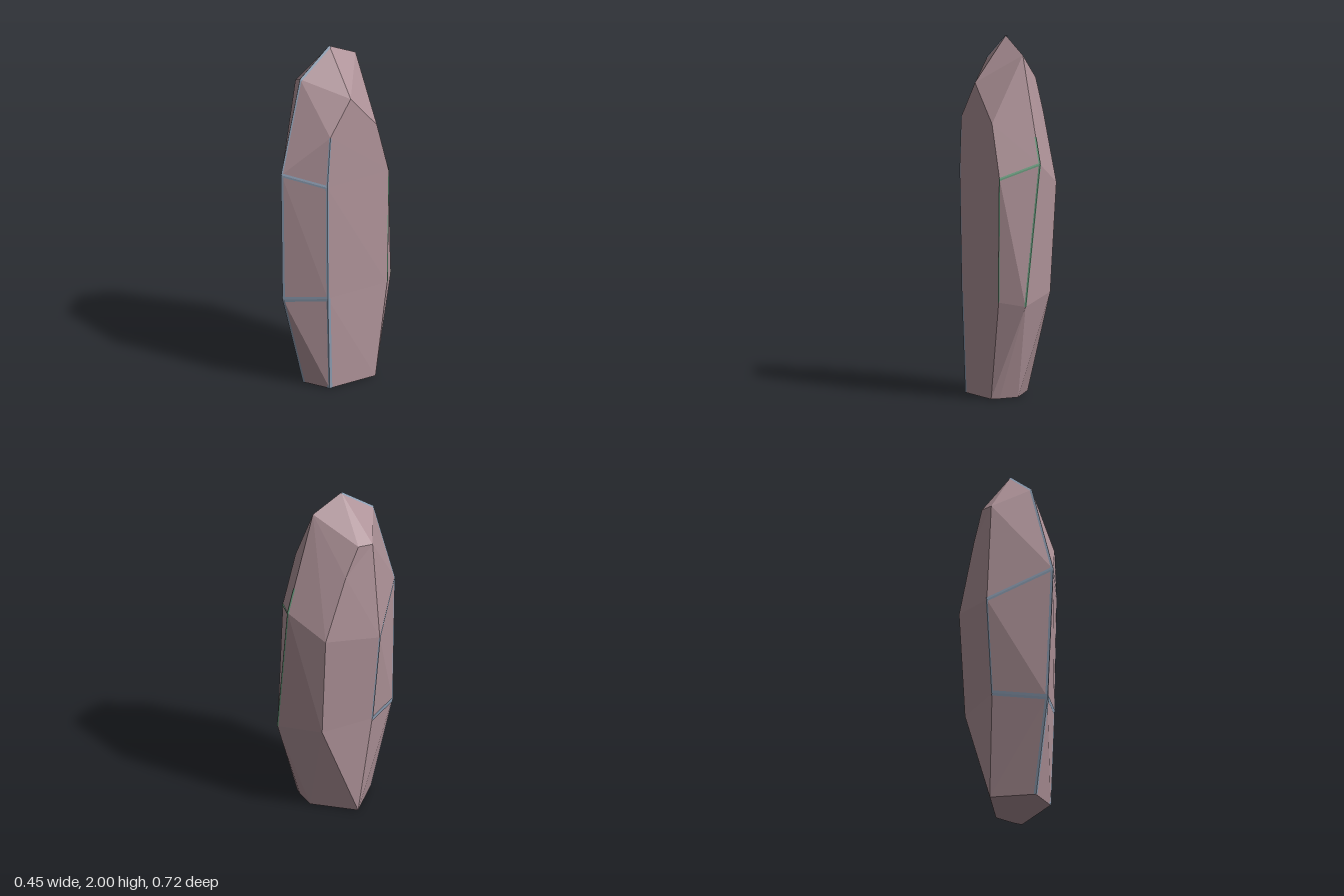
import * as THREE from 'three';

const V = (x, y, z) => new THREE.Vector3(x, y, z);

// Cross-sections from base to shoulder; columns run
// front, front right, back right, back, back left, front left
const F = 0, FR = 1, BR = 2, B = 3, BL = 4, FL = 5;
const rings = [
  [V(0.05, 0, 0.2), V(0.2, 0, 0.13), V(0.22, 0, -0.17), V(0.17, 0, -0.18), V(0.05, 0, -0.18), V(-0.135, 0, 0.02)],
  [V(0.035, 0.54, 0.33), V(0.21, 0.56, 0.15), V(0.22, 0.55, -0.25), V(0.11, 0.53, -0.355), V(-0.14, 0.58, -0.21), V(-0.17, 0.6, 0.09)],
  [V(0.055, 1.32, 0.355), V(0.218, 1.25, 0.16), V(0.22, 1.24, -0.26), V(0.01, 1.32, -0.345), V(-0.18, 1.19, -0.21), V(-0.22, 1.15, 0.11)],
  [V(0.02, 1.85, 0.2), V(0.22, 1.55, 0.14), V(0.22, 1.54, -0.18), V(0.02, 1.91, -0.18), V(-0.175, 1.57, -0.08), V(-0.175, 1.74, 0.09)],
];
const apex = V(0.02, 2, 0), ridgeRight = V(0.22, 1.75, 0), ridgeLeft = V(-0.175, 1.75, 0);

function meshFrom(points, material, name) {
  const geometry = new THREE.BufferGeometry().setFromPoints(points);
  geometry.computeVertexNormals();
  const mesh = new THREE.Mesh(geometry, material);
  mesh.name = name;
  return mesh;
}

// Quad split along whichever diagonal bulges outwards
function quad(out, a, b, c, d) {
  const n = c.clone().sub(a).cross(d.clone().sub(b));
  const outer = a.clone().add(c).sub(b).sub(d).dot(n) >= 0;
  out.push(...(outer ? [a, b, c, a, c, d] : [a, b, d, b, c, d]));
}

// Thin folded band along edge ab, lying on the faces that hold c and d
function band(out, a, b, c, d, width) {
  const along = b.clone().sub(a).normalize();
  const into = (p) => {
    const v = p.clone().sub(a);
    return v.addScaledVector(along, -v.dot(along)).normalize();
  };
  const u = into(c), v = into(d);
  const lift = u.clone().add(v).normalize().multiplyScalar(-0.003);
  const a0 = a.clone().add(lift), b0 = b.clone().add(lift);
  for (const [side, flip] of [[u, false], [v, true]]) {
    const a1 = a0.clone().addScaledVector(side, width / 2);
    const b1 = b0.clone().addScaledVector(side, width / 2);
    out.push(...(flip ? [a0, a1, b1, a0, b1, b0] : [a0, b0, b1, a0, b1, a1]));
  }
}

// Band running up a column, optionally only part of the way
function columnBand(out, r, i, width, t = 1) {
  const a = rings[r][i], b = a.clone().lerp(rings[r + 1][i], t);
  band(out, a, b, rings[r][(i + 5) % 6], rings[r][(i + 1) % 6], width);
}

// Band running across between two columns
function rowBand(out, r, i, width) {
  const j = (i + 1) % 6;
  band(out, rings[r][i], rings[r][j], rings[r + 1][i], rings[r - 1][i], width);
}

export function createModel() {
  const stone = new THREE.MeshStandardMaterial({ color: 0xb0949a });
  const blue = new THREE.MeshStandardMaterial({ color: 0x8c9db2, side: THREE.DoubleSide });
  const green = new THREE.MeshStandardMaterial({ color: 0x6fa284, side: THREE.DoubleSide });
  const group = new THREE.Group();
  group.name = 'standingStone';

  // Faceted sides
  const body = [];
  for (let r = 0; r < 3; r++) {
    for (let i = 0; i < 6; i++) {
      const j = (i + 1) % 6;
      quad(body, rings[r][i], rings[r][j], rings[r + 1][j], rings[r + 1][i]);
    }
  }
  // Roof facets and gable ends
  const top = rings[3];
  quad(body, top[F], top[FR], ridgeRight, apex);
  quad(body, top[BR], top[B], apex, ridgeRight);
  quad(body, top[B], top[BL], ridgeLeft, apex);
  quad(body, top[FL], top[F], apex, ridgeLeft);
  body.push(top[FR], top[BR], ridgeRight, top[BL], top[FL], ridgeLeft);
  // Base
  for (let i = 1; i < 5; i++) body.push(rings[0][0], rings[0][i + 1], rings[0][i]);
  group.add(meshFrom(body, stone, 'stoneBody'));

  // Worn front edges
  const front = [];
  for (let r = 0; r < 3; r++) columnBand(front, r, F, 0.028);
  band(front, top[F], apex, top[FL], top[FR], 0.028);
  columnBand(front, 0, FR, 0.035);
  columnBand(front, 1, FR, 0.018);
  columnBand(front, 2, FR, 0.015);
  columnBand(front, 1, FL, 0.015);
  for (const i of [F, FL]) {
    rowBand(front, 1, i, 0.03);
    rowBand(front, 2, i, 0.022);
  }
  group.add(meshFrom(front, blue, 'frontEdges'));

  // Mossy back edges
  const back = [];
  columnBand(back, 1, B, 0.018);
  columnBand(back, 2, B, 0.018, 0.25);
  columnBand(back, 1, BR, 0.01);
  rowBand(back, 2, BR, 0.016);
  group.add(meshFrom(back, green, 'backEdges'));

  return group;
}
